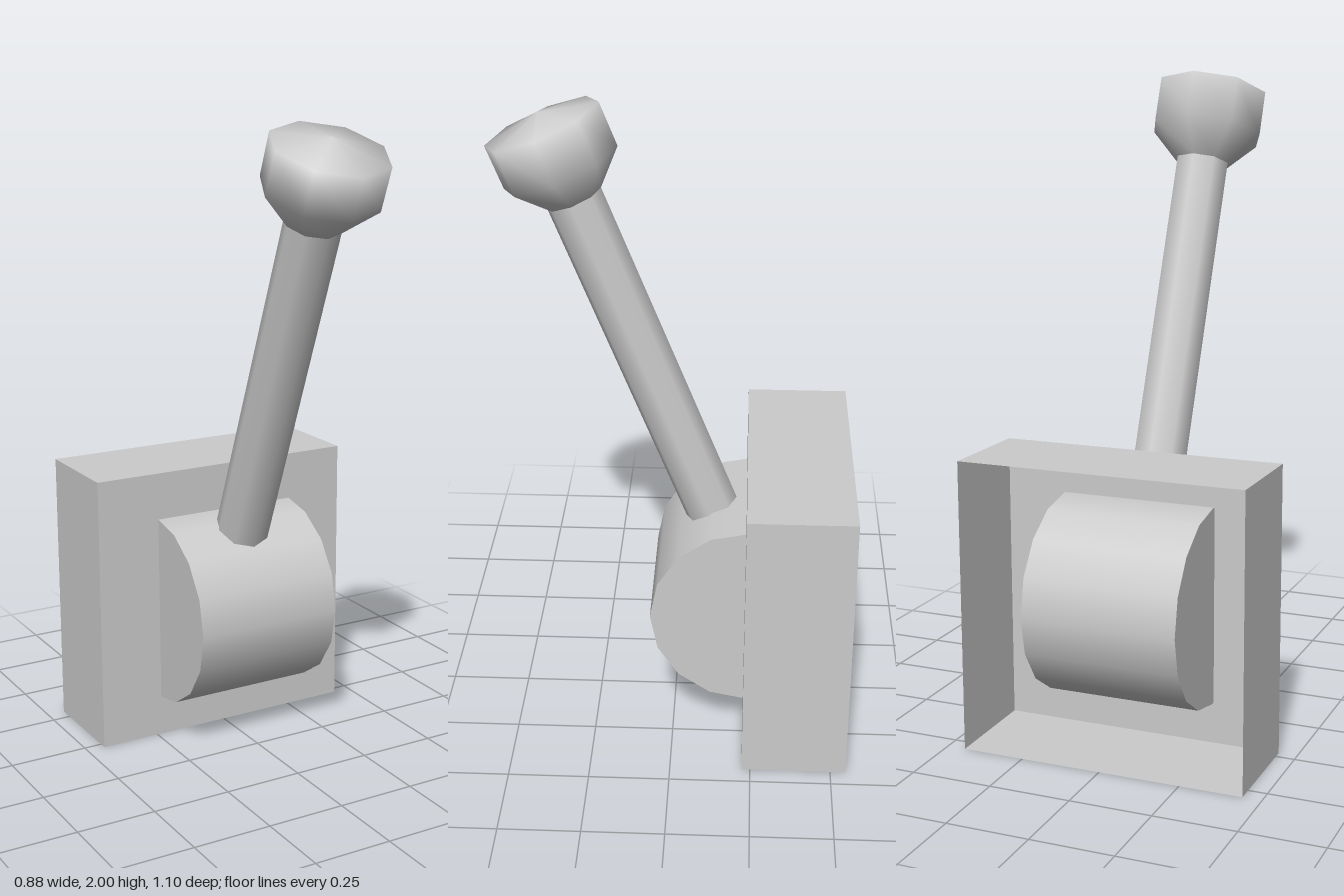
import * as THREE from 'three';

export function createModel() {
  const model = new THREE.Group();
  const material = new THREE.MeshStandardMaterial({ color: 0xcccccc, side: THREE.DoubleSide });

  const add = (parent, name, geometry, x, y, z) => {
    const mesh = new THREE.Mesh(geometry, material);
    mesh.name = name;
    mesh.position.set(x, y, z);
    parent.add(mesh);
    return mesh;
  };

  // Wall box, a thin shell open at the back: the last face of the box is dropped
  const shell = new THREE.BoxGeometry(0.885, 0.89, 0.324);
  shell.setIndex(Array.from(shell.index.array).slice(0, 30));
  shell.clearGroups();
  add(model, 'wallBox', shell, 0, 0.445, -0.386);

  // Pivot drum lying across the box, half of it bulging out of the front
  const drum = add(model, 'pivotDrum', new THREE.CylinderGeometry(0.306, 0.306, 0.484, 16), 0.008, 0.434, -0.235);
  drum.rotation.z = Math.PI / 2;

  // Lever tilted forward, with its origin where the shaft meets the knob
  const lever = new THREE.Group();
  lever.name = 'lever';
  lever.position.set(0.008, 1.715, 0.297);
  lever.rotation.x = THREE.MathUtils.degToRad(21.9);
  model.add(lever);

  const shaftLength = 1.25;
  add(lever, 'shaft', new THREE.CylinderGeometry(0.086, 0.086, shaftLength, 8), 0, -shaftLength / 2, 0);

  // Eight-sided knob with a shallow pointed top
  const profile = [[0.086, 0], [0.179, 0.097], [0.179, 0.235], [0, 0.271]];
  const knob = new THREE.LatheGeometry(profile.map(([r, y]) => new THREE.Vector2(r, y)), 8);
  add(lever, 'knob', knob, 0, 0, 0);

  return model;
}
